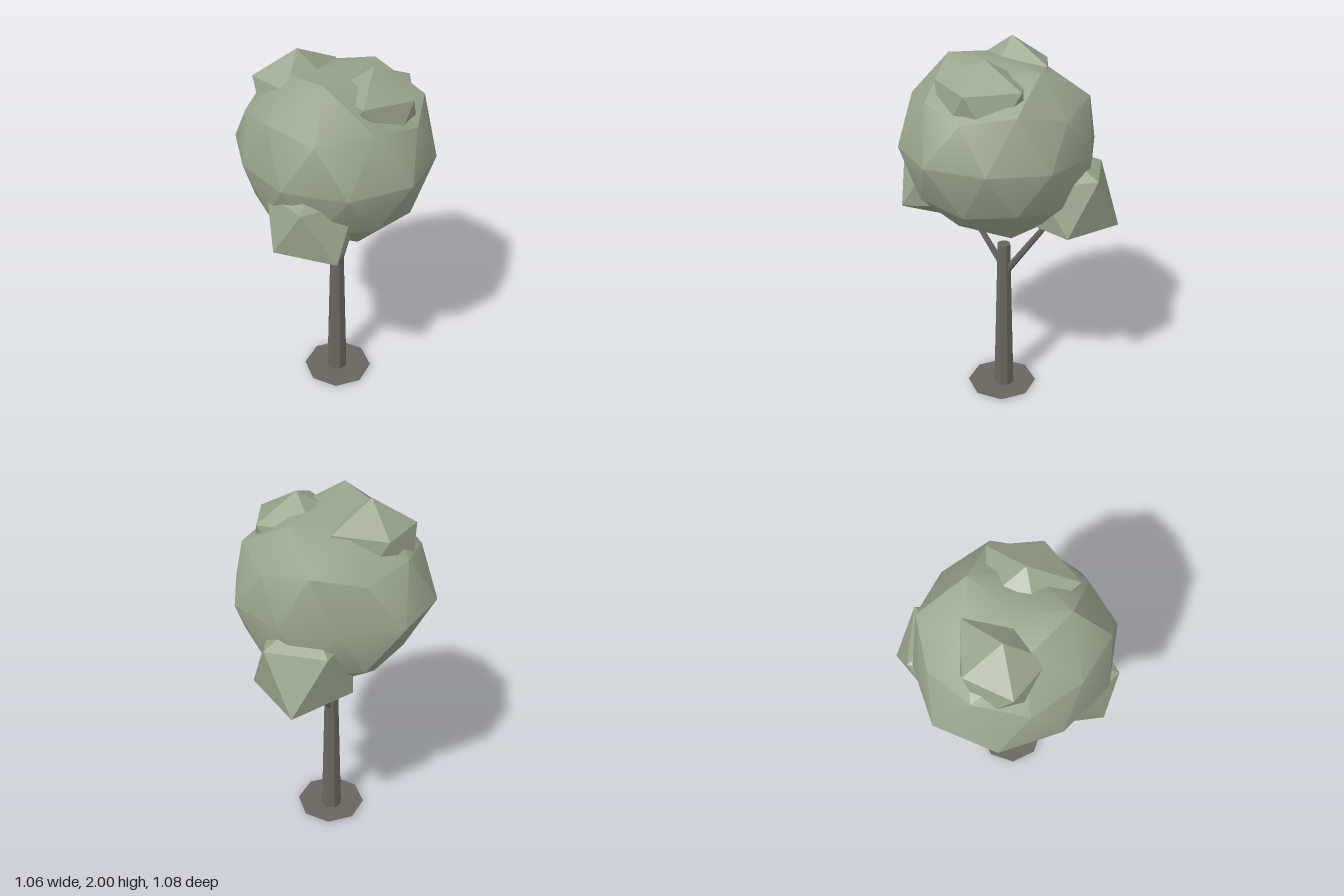
import * as THREE from 'three';
import { toCreasedNormals } from 'three/addons/utils/BufferGeometryUtils.js';
import { ConvexGeometry } from 'three/addons/geometries/ConvexGeometry.js';

const leaf = new THREE.MeshStandardMaterial({ color: 0x98a48c });
leaf.name = 'sage leaf';
const bark = new THREE.MeshStandardMaterial({ color: 0x69655e });
bark.name = 'grey bark';

const rad = THREE.MathUtils.degToRad;

// Lumpy ball: each ring is [elevation, first azimuth, radii spread evenly round the ring]
function lump(name, center, rings) {
  const dirs = [], radii = [];
  for (const [elevation, start, list] of rings) {
    list.forEach((r, i) => {
      const e = rad(elevation), a = rad(start + (i * 360) / list.length);
      dirs.push(new THREE.Vector3(Math.cos(e) * Math.cos(a), Math.sin(e), Math.cos(e) * Math.sin(a)));
      radii.push(r);
    });
  }
  const geo = new ConvexGeometry(dirs);
  const pos = geo.attributes.position, v = new THREE.Vector3();
  for (let i = 0; i < pos.count; i++) {
    v.fromBufferAttribute(pos, i);
    const k = dirs.findIndex((d) => d.dot(v) > 0.9995);
    pos.setXYZ(i, ...v.multiplyScalar(radii[k]).toArray());
  }
  const mesh = new THREE.Mesh(toCreasedNormals(geo, rad(30)), leaf);
  mesh.name = name;
  mesh.position.set(...center);
  return mesh;
}

// Twelve-cornered clump: top, upper five, lower five, bottom
const clump = (name, center, top, upper, lower, bottom) =>
  lump(name, center, [[90, 0, [top]], [26.57, 0, upper], [-26.57, 36, lower], [-90, 0, [bottom]]]);

// Thin tapered branch between two points
function branch(name, from, to) {
  const a = new THREE.Vector3(...from), b = new THREE.Vector3(...to);
  const dir = b.clone().sub(a);
  const geo = new THREE.CylinderGeometry(0.014, 0.02, dir.length(), 6);
  const mesh = new THREE.Mesh(toCreasedNormals(geo, rad(30)), bark);
  mesh.name = name;
  mesh.position.copy(a).add(b).multiplyScalar(0.5);
  mesh.quaternion.setFromUnitVectors(new THREE.Vector3(0, 1, 0), dir.normalize());
  return mesh;
}

export function createModel() {
  const tree = new THREE.Group();
  tree.name = 'tree';

  // Main crown
  tree.add(lump('crown', [0, 1.5, 0], [
    [90, 0, [0.42]],
    [58.28, 0, [0.48, 0.44, 0.53, 0.48, 0.44]],
    [26.57, 0, [0.48, 0.49, 0.53, 0.5, 0.48]],
    [31.72, 36, [0.51, 0.5, 0.51, 0.5, 0.506]],
    [0, 18, [0.508, 0.504, 0.535, 0.54, 0.517, 0.5, 0.537, 0.54, 0.475, 0.483]],
    [-26.57, 36, [0.5, 0.52, 0.5, 0.47, 0.5]],
    [-31.72, 0, [0.5, 0.5, 0.5, 0.5, 0.5]],
    [-58.28, 36, [0.5, 0.5, 0.49, 0.5, 0.5]],
    [-90, 0, [0.48]],
  ]));

  // Side and top clumps
  tree.add(
    clump('rightClump', [-0.27, 1.29, 0.13], 0.25,
      [0.25, 0.26, 0.28, 0.25, 0.25], [0.24, 0.32, 0.29, 0.26, 0.25], 0.26),
    clump('leftClump', [0.26, 1.26, -0.13], 0.25,
      [0.3, 0.25, 0.25, 0.25, 0.29], [0.31, 0.25, 0.25, 0.29, 0.36], 0.24),
    clump('frontTopClump', [0.065, 1.74, 0.185], 0.23,
      [0.274, 0.24, 0.28, 0.24, 0.24], [0.25, 0.25, 0.25, 0.25, 0.25], 0.25),
    clump('backTopClump', [-0.11, 1.76, -0.165], 0.24,
      [0.28, 0.215, 0.23, 0.245, 0.23], [0.24, 0.24, 0.24, 0.25, 0.24], 0.25),
  );

  // Eight-sided trunk
  const trunk = new THREE.Mesh(
    toCreasedNormals(new THREE.CylinderGeometry(0.037, 0.06, 0.905, 8), rad(30)), bark);
  trunk.name = 'trunk';
  trunk.position.y = 0.4575;
  trunk.rotation.y = Math.PI / 8;
  tree.add(trunk);

  // Two branches reaching into the side clumps
  tree.add(
    branch('rightBranch', [-0.01, 0.79, 0.01], [-0.22, 1.15, 0.105]),
    branch('leftBranch', [0.015, 0.745, -0.005], [0.27, 1.12, -0.075]),
  );

  // Shallow ground plate with a raised rim
  const profile = [[0, 0], [0.13, 0], [0.195, 0.012], [0.13, 0.007], [0, 0.005]]
    .map((p) => new THREE.Vector2(...p));
  const plate = new THREE.Mesh(toCreasedNormals(new THREE.LatheGeometry(profile, 8), rad(30)), bark);
  plate.name = 'groundPlate';
  plate.position.set(-0.005, 0, 0.012);
  tree.add(plate);

  return tree;
}
